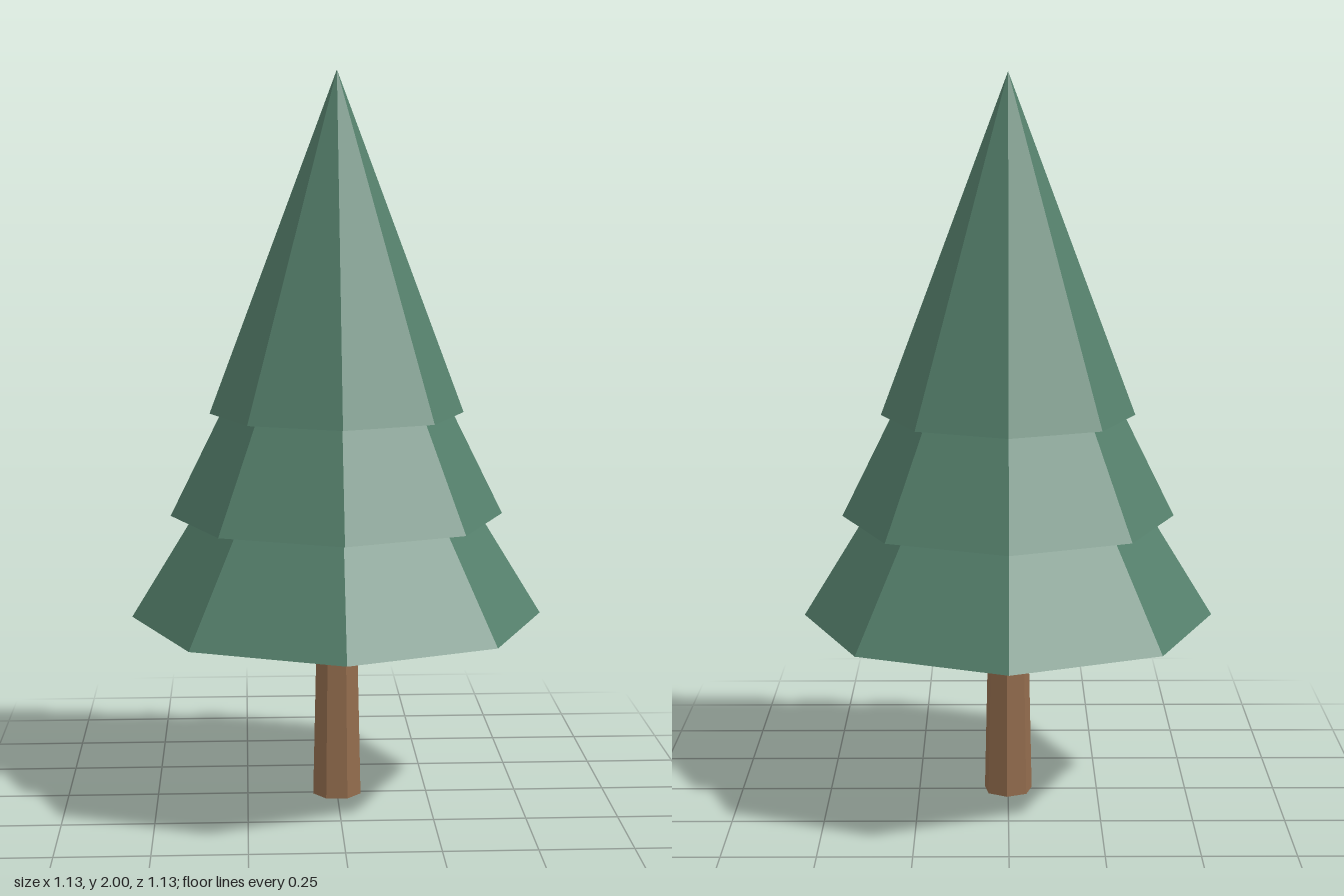
import * as THREE from 'three';

export function createModel() {
  const tree = new THREE.Group();
  tree.name = 'tree';

  const needles = new THREE.MeshStandardMaterial({ color: 0x55806c, flatShading: true });
  needles.name = 'needleGreen';
  const bark = new THREE.MeshStandardMaterial({ color: 0x926c4d, flatShading: true });
  bark.name = 'barkBrown';

  // Tapered seven-sided trunk, ending just inside the lowest tier
  const trunkHeight = 0.57;
  const trunk = new THREE.Mesh(new THREE.CylinderGeometry(0.055, 0.068, trunkHeight, 7), bark);
  trunk.name = 'trunk';
  trunk.position.y = trunkHeight / 2;
  trunk.rotation.y = 0.4;
  tree.add(trunk);

  // Three overlapping eight-sided cones, equal in height and narrowing upwards
  const tierHeight = 0.925;
  const tiers = [
    ['lowerFoliage', 0.566, 0.51],
    ['middleFoliage', 0.457, 0.7925],
    ['upperFoliage', 0.348, 1.075],
  ];
  for (const [name, radius, baseY] of tiers) {
    const tier = new THREE.Mesh(new THREE.ConeGeometry(radius, tierHeight, 8), needles);
    tier.name = name;
    tier.position.y = baseY + tierHeight / 2;
    tree.add(tier);
  }

  return tree;
}
